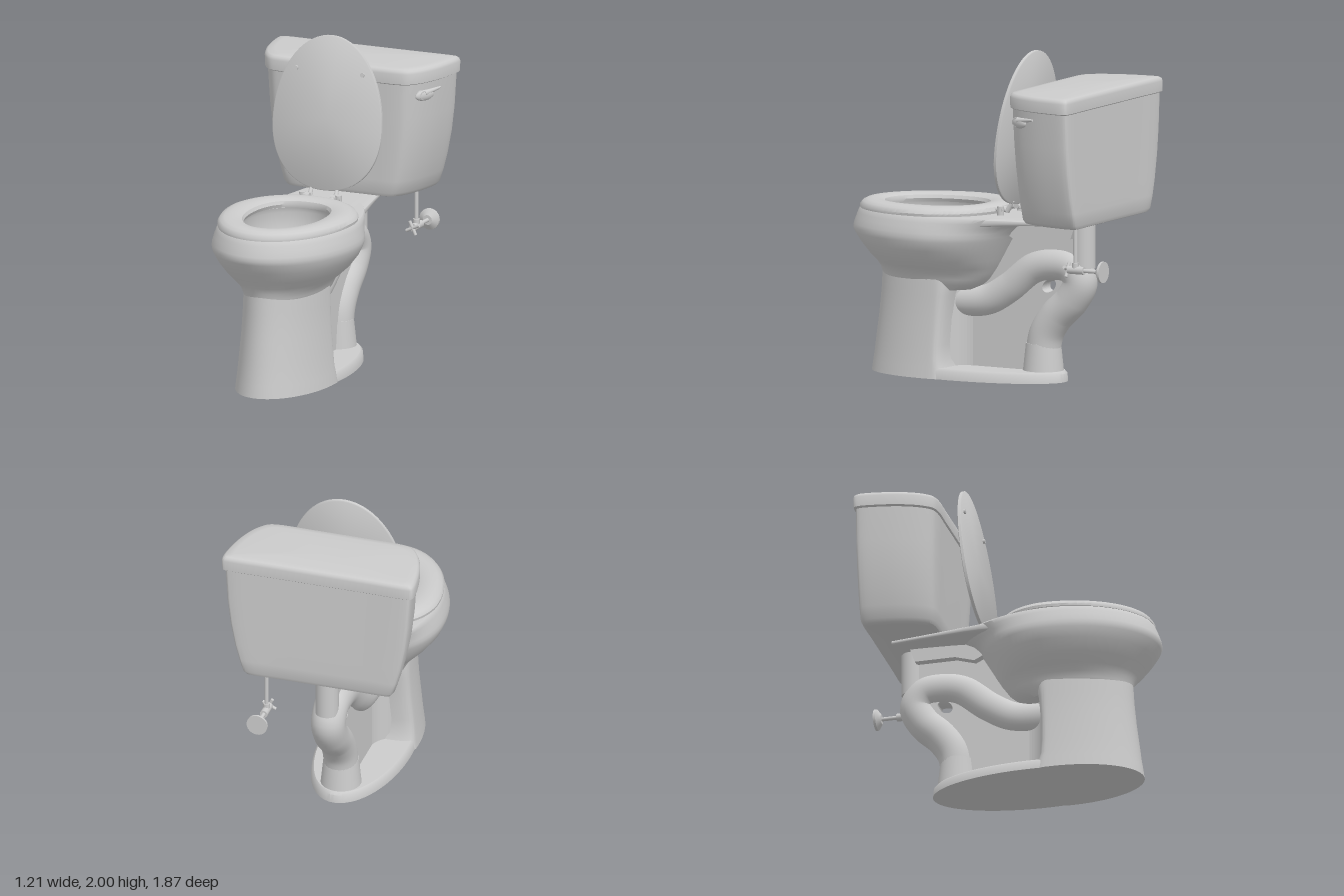
import * as THREE from 'three';
import { toCreasedNormals } from 'three/addons/utils/BufferGeometryUtils.js';

const material = new THREE.MeshStandardMaterial({ color: 0xcccccc });
const V = (x, y, z) => new THREE.Vector3(x, y, z);

function add(parent, name, geometry) {
  const mesh = new THREE.Mesh(geometry, material);
  mesh.name = name;
  parent.add(mesh);
  return mesh;
}

// Skin a row of equal-length closed rings, optionally capped at both ends
function loft(rings, capped = true) {
  const n = rings[0].length, points = rings.flat(), index = [];
  for (let i = 0; i < rings.length - 1; i++) {
    for (let j = 0; j < n; j++) {
      const a = i * n + j, b = i * n + (j + 1) % n;
      index.push(a, b, b + n, a, b + n, a + n);
    }
  }
  if (capped) {
    [0, rings.length - 1].forEach((r, end) => {
      const centre = rings[r].reduce((s, p) => s.add(p), V(0, 0, 0)).divideScalar(n);
      const c = points.push(centre) - 1;
      for (let j = 0; j < n; j++) {
        const a = r * n + j, b = r * n + (j + 1) % n;
        index.push(c, end ? a : b, end ? b : a);
      }
    });
  }
  const g = new THREE.BufferGeometry().setFromPoints(points);
  g.setIndex(index);
  return toCreasedNormals(g, 0.7);
}

const power = (v, n) => Math.sign(v) * Math.abs(v) ** (2 / n);

// Horizontal egg outline: half width, front z, back z, z of widest point, squareness of back
function egg([y, w, front, back, mid, nBack = 2]) {
  return Array.from({ length: 72 }, (_, i) => {
    const a = i / 72 * Math.PI * 2, c = Math.cos(a), s = Math.sin(a);
    const n = c > 0 ? 2 : nBack;
    return V(w * power(s, n), y, mid + (c > 0 ? front - mid : mid - back) * power(c, n));
  });
}

// Tank outline: flat back, curved sides, narrower flat front
function tankRing([y, w, front, back]) {
  const half = [[0.35, 1], [0.66, 0.995], [0.76, 0.96], [0.85, 0.83], [0.93, 0.6],
    [0.98, 0.33], [1, 0.07], [0.985, 0.015], [0.95, 0], [0.5, 0]];
  const right = half.map(([x, d]) => V(x * w, y, back + d * (front - back)));
  const left = right.map(p => V(-p.x, y, p.z)).reverse();
  return new THREE.CatmullRomCurve3([...right, ...left], true).getPoints(100).slice(0, -1);
}

// Round bar between two points
function rod(a, b, r1, r2 = r1) {
  const d = b.clone().sub(a);
  const g = new THREE.CylinderGeometry(r2, r1, d.length(), 24);
  g.applyQuaternion(new THREE.Quaternion().setFromUnitVectors(V(0, 1, 0), d.clone().normalize()));
  return g.translate(...a.clone().add(b).multiplyScalar(0.5).toArray());
}

// Upright slab in the middle plane, outlined by [z, y] points
function slab(outline, thickness, hole) {
  const shape = new THREE.Shape(outline.map(([z, y]) => new THREE.Vector2(-z, y)));
  if (hole) shape.holes.push(hole);
  return new THREE.ExtrudeGeometry(shape, { depth: thickness, bevelEnabled: false, curveSegments: 24 })
    .translate(0, 0, -thickness / 2).rotateY(Math.PI / 2);
}

function buildBase() {
  const g = new THREE.Group();
  g.name = 'base';
  add(g, 'footPlate', loft([
    [0, 0.281, 0.815, -0.48, 0.17], [0.05, 0.276, 0.81, -0.475, 0.17],
    [0.065, 0.262, 0.795, -0.46, 0.17],
  ].map(egg)));
  add(g, 'pedestal', loft([
    [0, 0.285, 0.83, 0.2, 0.32, 4], [0.07, 0.277, 0.82, 0.22, 0.32, 4], [0.11, 0.272, 0.813, 0.235, 0.32, 4],
    [0.2, 0.264, 0.802, 0.238, 0.32, 4], [0.35, 0.25, 0.782, 0.232, 0.32, 4],
    [0.5, 0.242, 0.767, 0.218, 0.32, 4], [0.57, 0.24, 0.763, 0.2, 0.32, 3.5], [0.61, 0.238, 0.76, 0.19, 0.32, 3],
  ].map(egg)));

  // Concave blend from the back of the pedestal into the middle wall
  const blend = new THREE.Shape();
  blend.moveTo(-0.17, -0.25);
  blend.lineTo(0.17, -0.25);
  blend.quadraticCurveTo(0.05, -0.22, 0.045, -0.09);
  blend.lineTo(-0.045, -0.09);
  blend.quadraticCurveTo(-0.05, -0.22, -0.17, -0.25);
  add(g, 'pedestalBlend', new THREE.ExtrudeGeometry(blend, { depth: 0.52, bevelEnabled: false })
    .rotateX(-Math.PI / 2).translate(0, 0.05, 0));

  // S-shaped drain and the thin wall joining it to the pedestal
  const path = [[0.32, 0.46], [0.15, 0.455], [0.02, 0.475], [-0.12, 0.555], [-0.29, 0.685], [-0.42, 0.715],
    [-0.53, 0.7], [-0.582, 0.62], [-0.53, 0.51], [-0.42, 0.4], [-0.35, 0.29], [-0.328, 0.17], [-0.328, 0.03]];
  const curve = new THREE.CatmullRomCurve3(path.map(([z, y]) => V(0, y, z)));
  add(g, 'trapway', new THREE.TubeGeometry(curve, 90, 0.105, 28));
  add(g, 'trapwayFoot', new THREE.CylinderGeometry(0.106, 0.125, 0.18, 32).translate(0, 0.14, -0.328));

  const hole = new THREE.Path().absellipse(0.395, 0.585, 0.052, 0.036, 0, Math.PI * 2, true, 0.6);
  add(g, 'web', slab([[0.26, 0.05], [-0.33, 0.05], [-0.36, 0.3], [-0.57, 0.59], [-0.6, 0.72],
    [-0.6, 0.97], [-0.05, 0.92], [0, 0.62], [0.26, 0.5]], 0.1, hole));
  add(g, 'shelfRib', slab([[-0.1, 0.9], [-0.2, 0.85], [-0.32, 0.885], [-0.57, 0.885],
    [-0.6, 0.97], [-0.15, 0.96]], 0.2));
  add(g, 'shelfPost', new THREE.CylinderGeometry(0.07, 0.07, 0.27, 28).translate(0, 0.84, -0.607));
  return g;
}

function buildBowl() {
  const g = new THREE.Group();
  g.name = 'bowl';
  // Outer wall, rim and basin in one skin; the rim tapers back into the shelf
  add(g, 'bowlShell', loft([
    [0.53, 0.2, 0.74, 0.12, 0.35, 2.4], [0.565, 0.225, 0.75, 0.05, 0.35, 2.4], [0.6, 0.24, 0.758, 0.01, 0.35, 2.4],
    [0.635, 0.257, 0.767, -0.015, 0.35, 2.3], [0.67, 0.3, 0.785, -0.04, 0.34, 2.2],
    [0.72, 0.355, 0.83, -0.07, 0.34, 2.1], [0.79, 0.41, 0.885, -0.11, 0.33],
    [0.85, 0.437, 0.925, -0.145, 0.33], [0.875, 0.44, 0.935, -0.16, 0.33], [0.9, 0.437, 0.93, -0.18, 0.33, 1.95],
    [0.935, 0.427, 0.917, -0.22, 0.33, 1.9], [0.965, 0.418, 0.906, -0.29, 0.32, 1.8],
    [0.99, 0.409, 0.893, -0.33, 0.32, 1.8], [1.0, 0.4, 0.884, -0.33, 0.32, 1.8],
    [1.0, 0.26, 0.74, 0.06, 0.37], [0.97, 0.27, 0.75, 0.05, 0.37], [0.85, 0.265, 0.73, 0.07, 0.37],
    [0.76, 0.23, 0.67, 0.11, 0.36], [0.69, 0.17, 0.57, 0.15, 0.33], [0.65, 0.1, 0.45, 0.19, 0.31],
    [0.635, 0.04, 0.35, 0.24, 0.3],
  ].map(egg)));
  // Shelf behind the rim that carries the tank: z, half width, underside
  const sections = [[-0.69, 0.19, 0.97], [-0.5, 0.22, 0.968], [-0.33, 0.25, 0.963], [-0.22, 0.272, 0.957],
    [-0.12, 0.292, 0.948], [-0.03, 0.31, 0.935], [0.04, 0.322, 0.92]];
  add(g, 'tankShelf', loft(sections.map(([z, w, low]) => Array.from({ length: 48 }, (_, i) => {
    const a = i / 48 * Math.PI * 2, h = (1.001 - low) / 2;
    return V(w * power(Math.cos(a), 6), low + h + h * power(Math.sin(a), 6), z);
  }))));
  return g;
}

function buildSeat() {
  const g = new THREE.Group();
  g.name = 'seatAssembly';
  const profile = [
    [1.004, 0.408, 0.88, -0.075, 0.31], [1.02, 0.41, 0.88, -0.08, 0.31], [1.043, 0.395, 0.862, -0.07, 0.31],
    [1.055, 0.365, 0.835, -0.045, 0.32], [1.06, 0.325, 0.8, -0.01, 0.33, 2.1], [1.056, 0.275, 0.757, 0.04, 0.36, 2.3],
    [1.045, 0.245, 0.728, 0.065, 0.37, 2.4], [1.025, 0.235, 0.72, 0.072, 0.37, 2.4],
    [1.004, 0.245, 0.725, 0.068, 0.37, 2.4],
  ];
  add(g, 'seat', loft([...profile, profile[0]].map(egg), false)).rotation.x = 0.012;

  // Raised lid with two bumpers on its underside
  const lid = new THREE.Group();
  lid.name = 'lid';
  add(lid, 'lidPanel', loft([
    [-0.012, 0.354, 0.937, 0.006, 0.4, 2.2], [-0.008, 0.36, 0.943, 0, 0.4, 2.2],
    [0.008, 0.36, 0.943, 0, 0.4, 2.2], [0.012, 0.354, 0.937, 0.006, 0.4, 2.2],
  ].map(egg)));
  for (const s of [-1, 1]) {
    add(lid, 'bumper', rod(V(s * 0.22, 0, 0.725), V(s * 0.22, -0.024, 0.725), 0.014));
  }
  lid.rotation.x = -THREE.MathUtils.degToRad(97);
  lid.position.set(0, 1.062, -0.155);
  g.add(lid);

  for (const s of [-1, 1]) {
    add(g, 'hingePost', rod(V(s * 0.12, 0.99, -0.1), V(s * 0.12, 1.055, -0.1), 0.02));
    add(g, 'hingePin', rod(V(s * 0.07, 1.035, -0.1), V(s * 0.135, 1.035, -0.1), 0.018));
    add(g, 'hingeArm', rod(V(s * 0.085, 1.03, -0.04), V(s * 0.085, 1.03, -0.13), 0.014));
    add(g, 'lidArm', rod(V(s * 0.085, 1.022, -0.125), V(s * 0.085, 1.09, -0.168), 0.016, 0.01));
  }
  return g;
}

function buildTank() {
  const g = new THREE.Group();
  g.name = 'tank';
  add(g, 'tankBody', loft([
    [0.998, 0.43, -0.4, -0.785], [1.004, 0.455, -0.382, -0.8], [1.025, 0.472, -0.372, -0.81],
    [1.1, 0.496, -0.368, -0.812], [1.2, 0.523, -0.364, -0.812], [1.35, 0.552, -0.358, -0.812],
    [1.5, 0.57, -0.353, -0.812], [1.73, 0.585, -0.347, -0.812],
  ].map(tankRing)));
  add(g, 'tankLid', loft([
    [1.712, 0.59, -0.345, -0.812], [1.718, 0.602, -0.338, -0.82], [1.78, 0.604, -0.336, -0.822],
    [1.796, 0.598, -0.341, -0.818], [1.806, 0.585, -0.352, -0.808], [1.811, 0.54, -0.39, -0.78],
  ].map(tankRing)));

  // Flush lever on the left front curve
  add(g, 'leverPivot', rod(V(0.46, 1.64, -0.46), V(0.53, 1.64, -0.435), 0.028));
  const head = add(g, 'leverHead', new THREE.SphereGeometry(1, 24, 16));
  head.scale.set(0.02, 0.033, 0.07);
  head.position.set(0.525, 1.638, -0.455);
  head.rotation.y = -0.45;
  add(g, 'leverArm', rod(V(0.525, 1.65, -0.45), V(0.575, 1.667, -0.575), 0.02, 0.006));
  return g;
}

function buildSupply() {
  const g = new THREE.Group();
  g.name = 'waterSupply';
  const x = 0.34, y = 0.74;
  add(g, 'riser', rod(V(x, y, -0.74), V(x, 1.01, -0.74), 0.012));
  add(g, 'riserNut', rod(V(x, y, -0.74), V(x, y + 0.045, -0.74), 0.02));
  add(g, 'valveBody', rod(V(x, y, -0.69), V(x, y, -0.8), 0.024));
  add(g, 'wallPipe', rod(V(x, y, -0.79), V(x, y, -0.91), 0.012));
  add(g, 'wallFlange', rod(V(x, y, -0.895), V(x, y, -0.92), 0.03, 0.065));
  add(g, 'wallFlangeRim', rod(V(x, y, -0.92), V(x, y, -0.935), 0.065));
  // Cross-shaped tap
  for (const [dx, dy] of [[0.042, 0.02], [-0.02, 0.042]]) {
    add(g, 'valveHandle', rod(V(x - dx, y - dy, -0.685), V(x + dx, y + dy, -0.685), 0.01));
  }
  return g;
}

export function createModel() {
  const model = new THREE.Group();
  model.name = 'toilet';
  model.add(buildBase(), buildBowl(), buildSeat(), buildTank(), buildSupply());
  return model;
}
